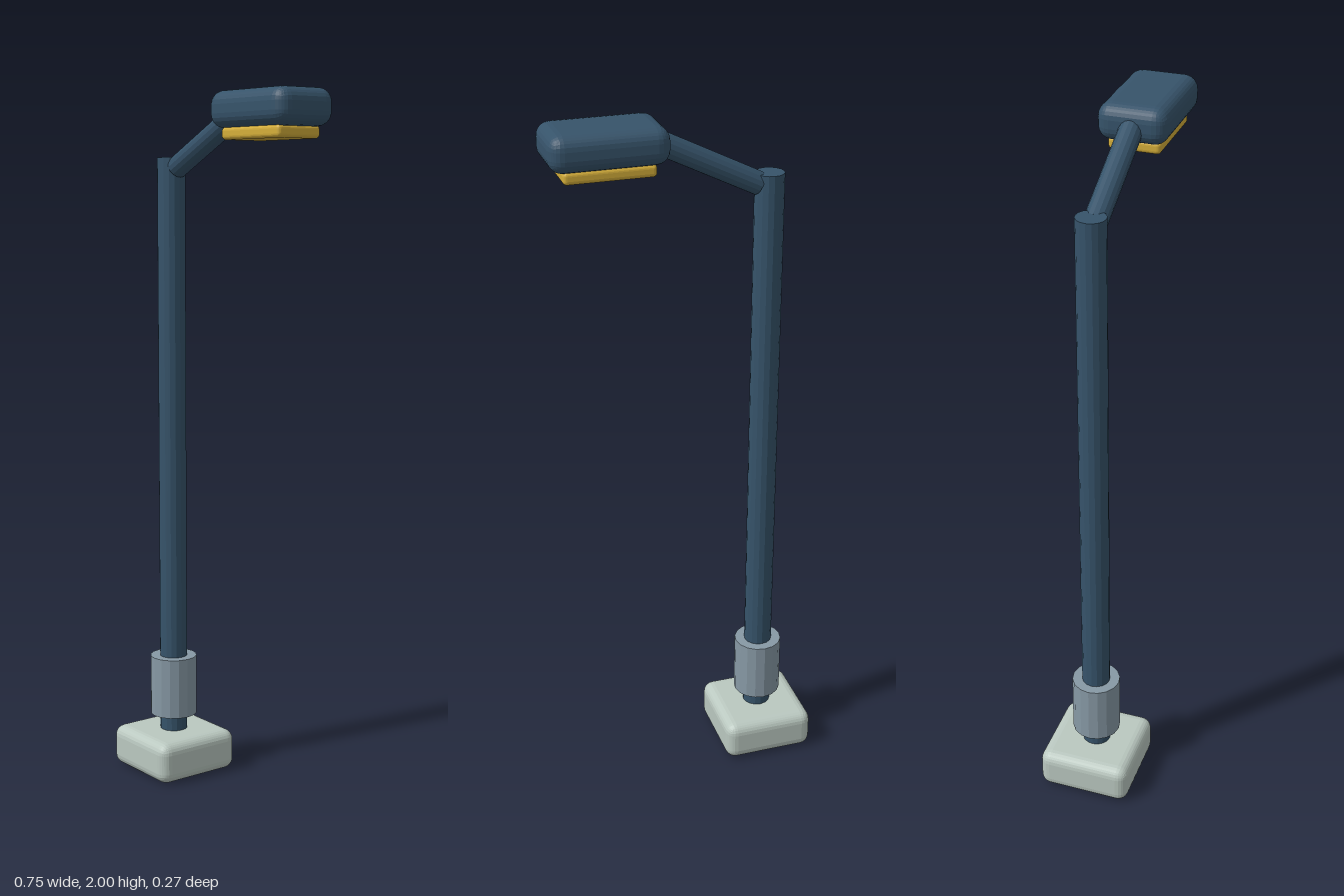
import * as THREE from 'three';
import { RoundedBoxGeometry } from 'three/addons/geometries/RoundedBoxGeometry.js';

const material = (name, color) => {
  const m = new THREE.MeshStandardMaterial({ color, flatShading: true });
  m.name = name;
  return m;
};

export function createModel() {
  const group = new THREE.Group();
  group.name = 'streetLamp';
  const navy = material('navy paint', 0x36536a);
  const stone = material('pale stone', 0xbac8c0);
  const steel = material('grey steel', 0x8799a5);
  const amber = material('amber glass', 0xd4ae3a);

  const add = (name, geometry, mat, x, y, z = 0) => {
    const mesh = new THREE.Mesh(geometry, mat);
    mesh.name = name;
    mesh.position.set(x, y, z);
    group.add(mesh);
    return mesh;
  };
  const tube = (radius, length) => new THREE.CylinderGeometry(radius, radius, length, 16);

  const poleX = -0.238;

  // Footing, pole and collar
  add('base', new RoundedBoxGeometry(0.272, 0.122, 0.272, 3, 0.032), stone, poleX, 0.061);
  add('pole', tube(0.041, 1.77), navy, poleX, 0.945);
  add('collar', tube(0.07, 0.18), steel, poleX, 0.26);

  // Sloping arm from the pole top into the lamp head
  const start = new THREE.Vector3(-0.208, 1.802, 0);
  const end = new THREE.Vector3(0.09, 1.95, 0);
  const along = end.clone().sub(start);
  const middle = start.clone().add(end).multiplyScalar(0.5);
  const arm = add('arm', tube(0.032, along.length()), navy, middle.x, middle.y);
  arm.quaternion.setFromUnitVectors(new THREE.Vector3(0, 1, 0), along.normalize());

  // Lamp head with its light panel below
  add('lampHead', new RoundedBoxGeometry(0.318, 0.1, 0.192, 3, 0.038), navy, 0.214, 1.95);
  add('lightPanel', new RoundedBoxGeometry(0.246, 0.034, 0.144, 3, 0.011), amber, 0.213, 1.886);

  return group;
}
